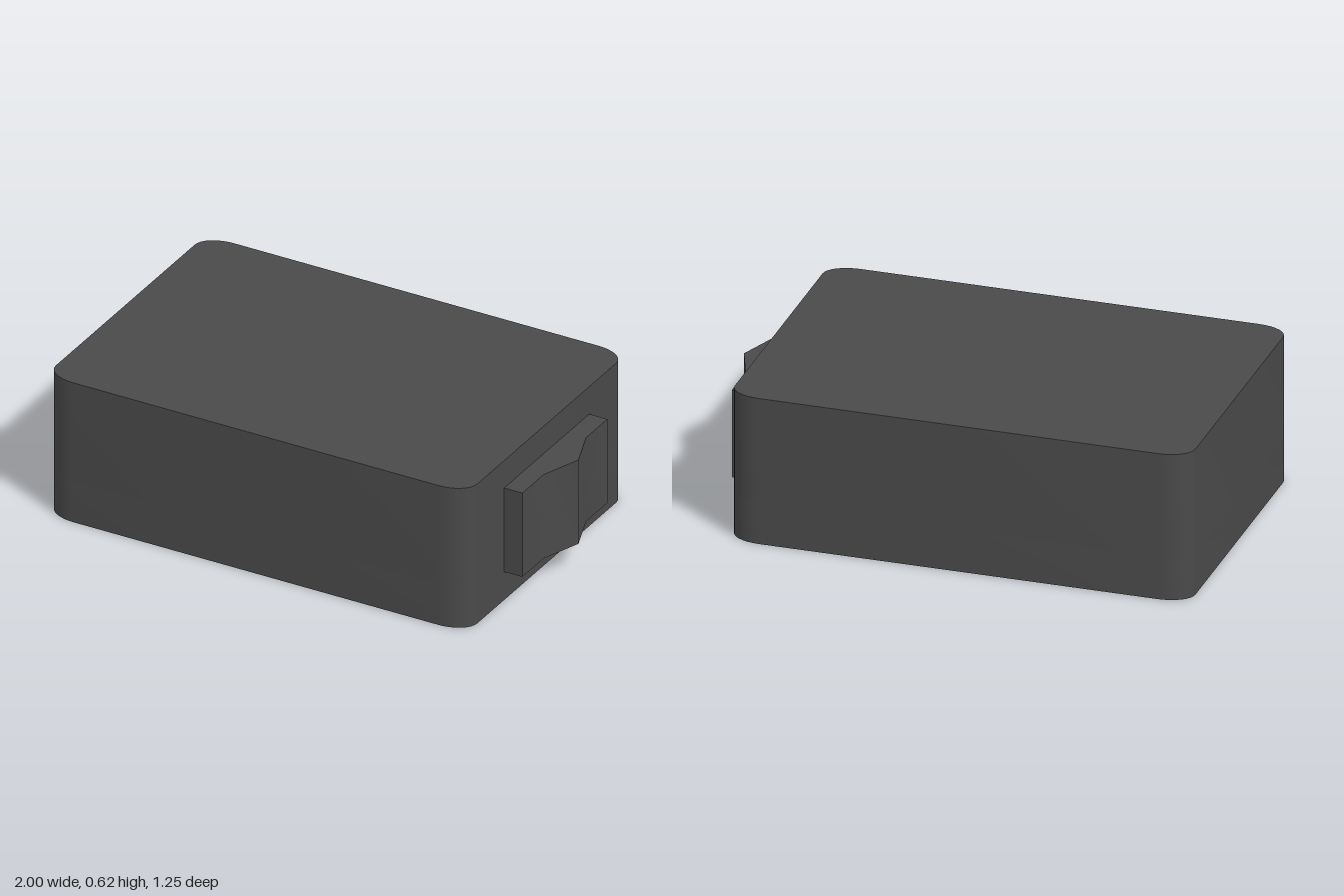
import * as THREE from 'three';
import { toCreasedNormals } from 'three/addons/utils/BufferGeometryUtils.js';

const MIN_X = -1, MAX_X = 0.86, HALF_Z = 0.623, HEIGHT = 0.615;
const WALL = 0.08, RECESS = 0.18;

// Plan outline of the case, inset by a wall thickness, with elliptical corners
function outline(path, inset, rx, rz) {
  const x0 = MIN_X + inset, x1 = MAX_X - inset, z = HALF_Z - inset;
  path.moveTo(x0 + rx, -z);
  path.lineTo(x1 - rx, -z);
  path.absellipse(x1 - rx, -z + rz, rx, rz, -Math.PI / 2, 0);
  path.lineTo(x1, z - rz);
  path.absellipse(x1 - rx, z - rz, rx, rz, 0, Math.PI / 2);
  path.lineTo(x0 + rx, z);
  path.absellipse(x0 + rx, z - rz, rx, rz, Math.PI / 2, Math.PI);
  path.lineTo(x0, -z + rz);
  path.absellipse(x0 + rx, -z + rz, rx, rz, Math.PI, Math.PI * 1.5);
  return path;
}

export function createModel() {
  const model = new THREE.Group();
  model.name = 'case';
  const material = new THREE.MeshStandardMaterial({ color: 0x4a4a4a });

  // Extrude a plan shape upwards from y0 to y1
  function addPart(name, shape, y0, y1) {
    const extruded = new THREE.ExtrudeGeometry(shape, {
      depth: y1 - y0, bevelEnabled: false, curveSegments: 4,
    });
    extruded.rotateX(-Math.PI / 2).translate(0, y0, 0);
    const mesh = new THREE.Mesh(toCreasedNormals(extruded, 0.8), material);
    mesh.name = name;
    model.add(mesh);
  }

  // Rim around the shallow recess in the underside
  const rim = outline(new THREE.Shape(), 0, 0.125, 0.083);
  rim.holes.push(outline(new THREE.Path(), WALL, 0.1, 0.07));
  addPart('bottomRim', rim, 0, RECESS);

  // Solid upper body
  addPart('body', outline(new THREE.Shape(), 0, 0.125, 0.083), RECESS, HEIGHT);

  // End plate with a shallow pointed ridge
  const plate = new THREE.Shape([
    [MAX_X - 0.02, -0.33], [0.94, -0.33], [0.94, -0.165], [1, 0],
    [0.94, 0.165], [0.94, 0.33], [MAX_X - 0.02, 0.33],
  ].map(([x, z]) => new THREE.Vector2(x, z)));
  addPart('endPlate', plate, 0.124, 0.494);

  return model;
}
